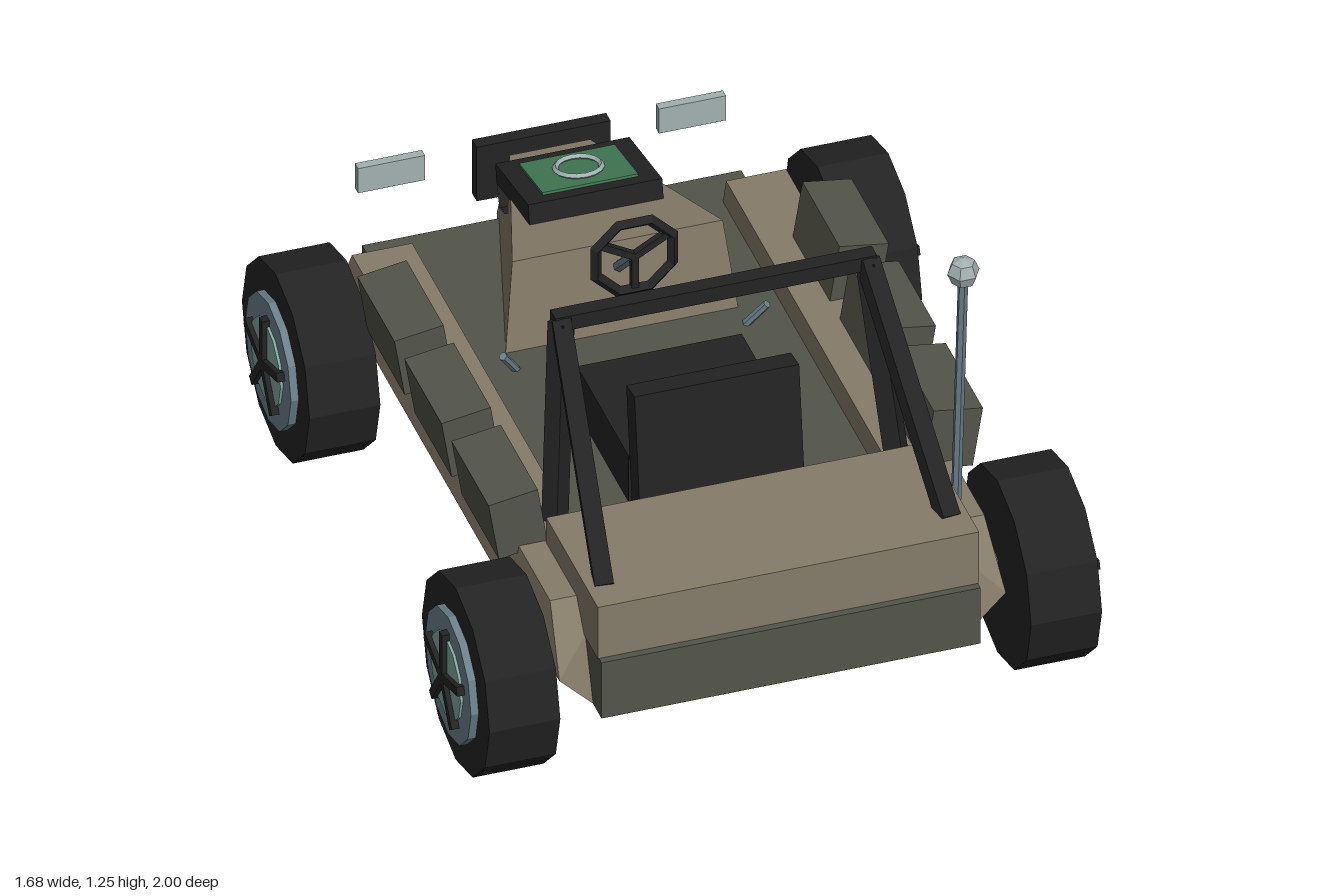
import * as THREE from 'three';

const mat = (name, color) => {
  const m = new THREE.MeshStandardMaterial({ color, flatShading: true });
  m.name = name;
  return m;
};

export function createModel() {
  const tan = mat('tan', 0x857b69);
  const olive = mat('dark olive', 0x535449);
  const black = mat('black', 0x232323);
  const slate = mat('slate', 0x6b808a);
  const teal = mat('teal', 0x82a89f);
  const green = mat('green', 0x427a54);
  const pale = mat('pale grey', 0xa3b0b0);

  const root = new THREE.Group();
  root.name = 'buggy';

  const add = (name, geo, m, pos = [0, 0, 0], rot = [0, 0, 0], parent = root) => {
    const mesh = new THREE.Mesh(geo, m);
    mesh.name = name;
    mesh.position.set(...pos);
    mesh.rotation.set(...rot);
    parent.add(mesh);
    return mesh;
  };
  const box = (name, size, m, pos, rot, parent) =>
    add(name, new THREE.BoxGeometry(...size), m, pos, rot, parent);

  // Straight bar between two points, square (4 sides) or round
  const bar = (name, a, b, r, m, sides = 4, parent = root) => {
    const p = new THREE.Vector3(...a), q = new THREE.Vector3(...b);
    const geo = new THREE.CylinderGeometry(r, r, p.distanceTo(q), sides);
    if (sides === 4) geo.rotateY(Math.PI / 4);
    const mesh = add(name, geo, m, p.clone().add(q).multiplyScalar(0.5).toArray(), [0, 0, 0], parent);
    mesh.quaternion.setFromUnitVectors(new THREE.Vector3(0, 1, 0), q.sub(p).normalize());
    return mesh;
  };

  // Closed solid lofted between two outlines with equal point counts
  const loft = (a, b) => {
    const n = a.length, pts = [];
    const tri = (...t) => t.forEach((p) => pts.push(...p));
    for (let i = 0; i < n; i++) {
      const j = (i + 1) % n;
      tri(a[i], a[j], b[j]);
      tri(a[i], b[j], b[i]);
    }
    for (let i = 1; i < n - 1; i++) {
      tri(a[0], a[i + 1], a[i]);
      tri(b[0], b[i], b[i + 1]);
    }
    const geo = new THREE.BufferGeometry();
    geo.setAttribute('position', new THREE.Float32BufferAttribute(pts, 3));
    geo.computeVertexNormals();
    return geo;
  };

  // Floor tub and raised rear deck
  box('tub', [0.99, 0.17, 1.855], olive, [0, 0.295, 0.0375]);
  box('rearDeck', [0.996, 0.157, 0.4], tan, [0, 0.458, 0.745]);

  // Side sills, sloped at both ends
  for (const s of [-1, 1]) {
    const prof = [[0.41, 0.46, 0.0], [0.567, 0.46, 0.0], [0.583, 0.3, 1], [0.497, 0.213, 1], [0.41, 0.213, 1]];
    const end = (zTop, zLow) => prof.map(([x, y, t]) => [s * x, y, zTop + (zLow - zTop) * t]);
    const rear = end(0.78, 0.9), front = end(-0.755, -0.83);
    add('sideSill', s > 0 ? loft(rear, front) : loft(front, rear), tan);
  }

  // Tapered hood
  const section = (wLow, yLow, zLow, wTop, yTop, zTop) => [
    [-wLow, yLow, zLow], [wLow, yLow, zLow], [wTop, yTop, zTop], [-wTop, yTop, zTop]];
  add('hood', loft(section(0.125, 0.355, -0.945, 0.105, 0.555, -0.905),
    section(0.305, 0.37, -0.345, 0.275, 0.63, -0.38)), tan);

  // Tilted display panel on the hood
  const panel = new THREE.Group();
  panel.name = 'hoodPanel';
  panel.position.set(0, 0.61, -0.675);
  panel.rotation.x = -0.19;
  root.add(panel);
  box('panelFrame', [0.35, 0.055, 0.26], black, [0, 0, 0], [0, 0, 0], panel);
  box('panelScreen', [0.25, 0.008, 0.185], green, [0, 0.0305, 0], [0, 0, 0], panel);
  add('panelRing', new THREE.TorusGeometry(0.058, 0.008, 4, 16), pale, [0, 0.04, 0], [Math.PI / 2, 0, 0], panel);
  for (const s of [-1, 1]) {
    const leg = (x) => [[x, -0.02, -0.02], [x, -0.09, -0.08], [x, -0.09, -0.12], [x, -0.02, -0.13]];
    add('panelLeg', loft(leg(s * 0.15 + 0.025), leg(s * 0.15 - 0.025)), black, [0, 0, 0], [0, 0, 0], panel);
  }

  // Grille with upright bars, and headlights
  box('grille', [0.35, 0.165, 0.035], black, [0, 0.48, -0.97]);
  for (let i = -2; i <= 2; i++) box('grilleBar', [0.024, 0.14, 0.015], slate, [i * 0.062, 0.48, -0.992]);
  for (const s of [-1, 1]) box('headlight', [0.175, 0.075, 0.024], pale, [s * 0.393, 0.522, -0.977]);

  // Seat
  box('seatBase', [0.43, 0.14, 0.4], black, [0, 0.45, 0.145]);
  box('seatBack', [0.43, 0.34, 0.065], black, [0, 0.56, 0.38], [-0.13, 0, 0]);
  box('seatBackPad', [0.32, 0.16, 0.02], olive, [0, 0.61, 0.336], [-0.13, 0, 0]);

  // Steering wheel, column and side levers
  const ring = new THREE.TorusGeometry(0.108, 0.016, 4, 8);
  ring.rotateZ(Math.PI / 8);
  add('steeringWheel', ring, black, [0, 0.675, -0.25]);
  for (let i = 0; i < 3; i++) {
    const a = -Math.PI / 2 + i * Math.PI * 2 / 3;
    bar('steeringSpoke', [0, 0.675, -0.25], [0.1 * Math.cos(a), 0.675 + 0.1 * Math.sin(a), -0.25], 0.013, black);
  }
  bar('steeringColumn', [0, 0.675, -0.25], [0, 0.56, -0.37], 0.015, slate, 6);
  for (const s of [-1, 1]) bar('lever', [s * 0.3, 0.38, -0.275], [s * 0.345, 0.45, -0.245], 0.011, slate, 6);

  // Roll cage
  bar('rollBarTop', [-0.42, 0.995, 0.365], [0.42, 0.995, 0.365], 0.03, black);
  for (const s of [-1, 1]) {
    bar('rollBarLeg', [s * 0.4, 0.995, 0.37], [s * 0.45, 0.4, 0.465], 0.034, black);
    bar('rollBarBrace', [s * 0.4, 0.995, 0.37], [s * 0.45, 0.525, 0.85], 0.034, black);
  }

  // Leaning storage bags along both sides
  for (const s of [-1, 1]) for (const z of [0.393, 0.028, -0.337])
    box('sideBag', [0.13, 0.172, 0.288], olive, [s * 0.568, 0.526, z], [0, 0, s * -0.156]);

  // Antenna
  bar('antennaRod', [0.515, 0.42, 0.712], [0.515, 1.18, 0.77], 0.013, slate, 6);
  add('antennaTip', new THREE.SphereGeometry(0.042, 6, 4), pale, [0.515, 1.21, 0.772]);

  // Wheels with rims, five spokes and suspension arms
  for (const s of [-1, 1]) for (const z of [0.74, -0.655]) {
    const wheel = new THREE.Group();
    wheel.name = z > 0 ? 'rearWheel' : 'frontWheel';
    wheel.position.set(s * 0.71, 0.262, z);
    root.add(wheel);
    const disc = (name, r, x0, x1, m) => add(name,
      new THREE.CylinderGeometry(r, r, x1 - x0, 12), m, [s * (x0 + x1) / 2, 0, 0], [0, 0, Math.PI / 2], wheel);
    disc('tyre', 0.262, -0.095, 0.09, black);
    disc('rim', 0.178, 0.085, 0.11, slate);
    disc('hubDisc', 0.117, 0.105, 0.117, teal);
    for (let i = 0; i < 5; i++) {
      const a = i * Math.PI * 2 / 5;
      box('wheelSpoke', [0.022, 0.135, 0.024], black,
        [s * 0.119, 0.066 * Math.cos(a), 0.066 * Math.sin(a)], [a, 0, 0], wheel);
    }
    const inner = z > 0 ? 0.6 : -0.48;
    bar('suspensionArm', [s * 0.64, 0.265, z], [s * 0.48, 0.31, inner], 0.024, slate, 6);
  }

  return root;
}
